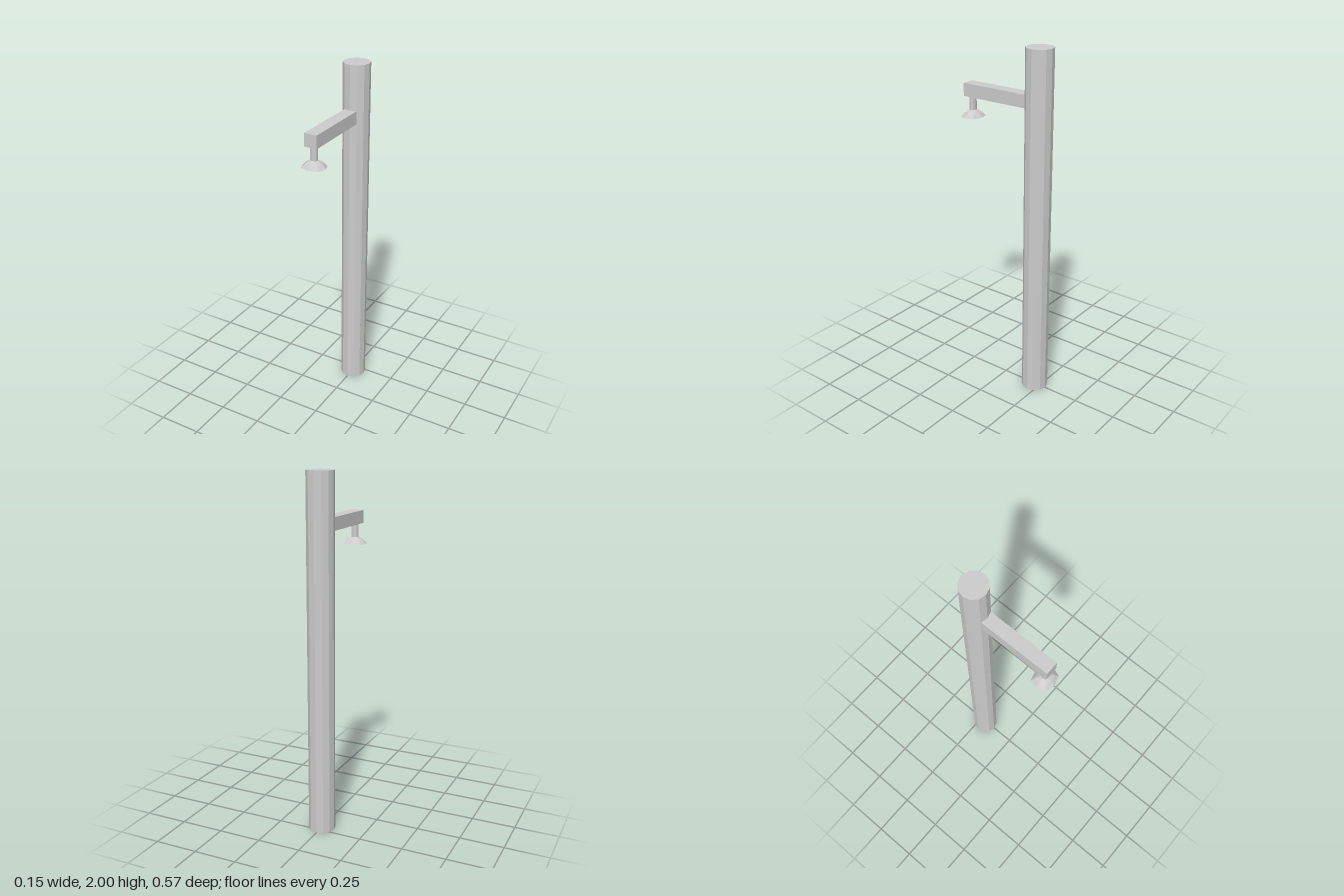
import * as THREE from 'three';

const grey = new THREE.MeshStandardMaterial({ color: 0xcccccc, flatShading: true });

function add(group, name, geometry, x, y, z) {
  const mesh = new THREE.Mesh(geometry, grey);
  mesh.name = name;
  mesh.position.set(x, y, z);
  group.add(mesh);
}

// Eight-sided turned part, slightly squared at the diagonals and flattened in z
function octagonal(profile) {
  const geometry = new THREE.LatheGeometry(profile.map(([r, y]) => new THREE.Vector2(r, y)), 8);
  const p = geometry.attributes.position;
  for (let i = 0; i < p.count; i++) {
    const x = p.getX(i), z = p.getZ(i);
    const diagonal = Math.abs(x * z) > 1e-6 ? 1.08 : 1;
    p.setX(i, x * diagonal);
    p.setZ(i, z * diagonal * 0.87);
  }
  geometry.computeVertexNormals();
  return geometry;
}

export function createModel() {
  const model = new THREE.Group();
  model.name = 'lampPost';

  // Upright post
  add(model, 'post', new THREE.CylinderGeometry(0.075, 0.075, 2, 12), 0, 1, -0.213);

  // Horizontal arm, ending just inside the post
  add(model, 'arm', new THREE.BoxGeometry(0.073, 0.072, 0.42), 0, 1.718, 0.05);

  // Hanging stem
  add(model, 'stem', octagonal([[0.02, 1.6], [0.02, 1.685]]), 0, 0, 0.226);

  // Two-tier shade with a hollow underside
  add(model, 'shade', octagonal([
    [0, 1.594], [0.045, 1.584], [0.069, 1.568],
    [0.047, 1.59], [0.022, 1.606], [0, 1.606],
  ]), 0, 0, 0.226);

  return model;
}
